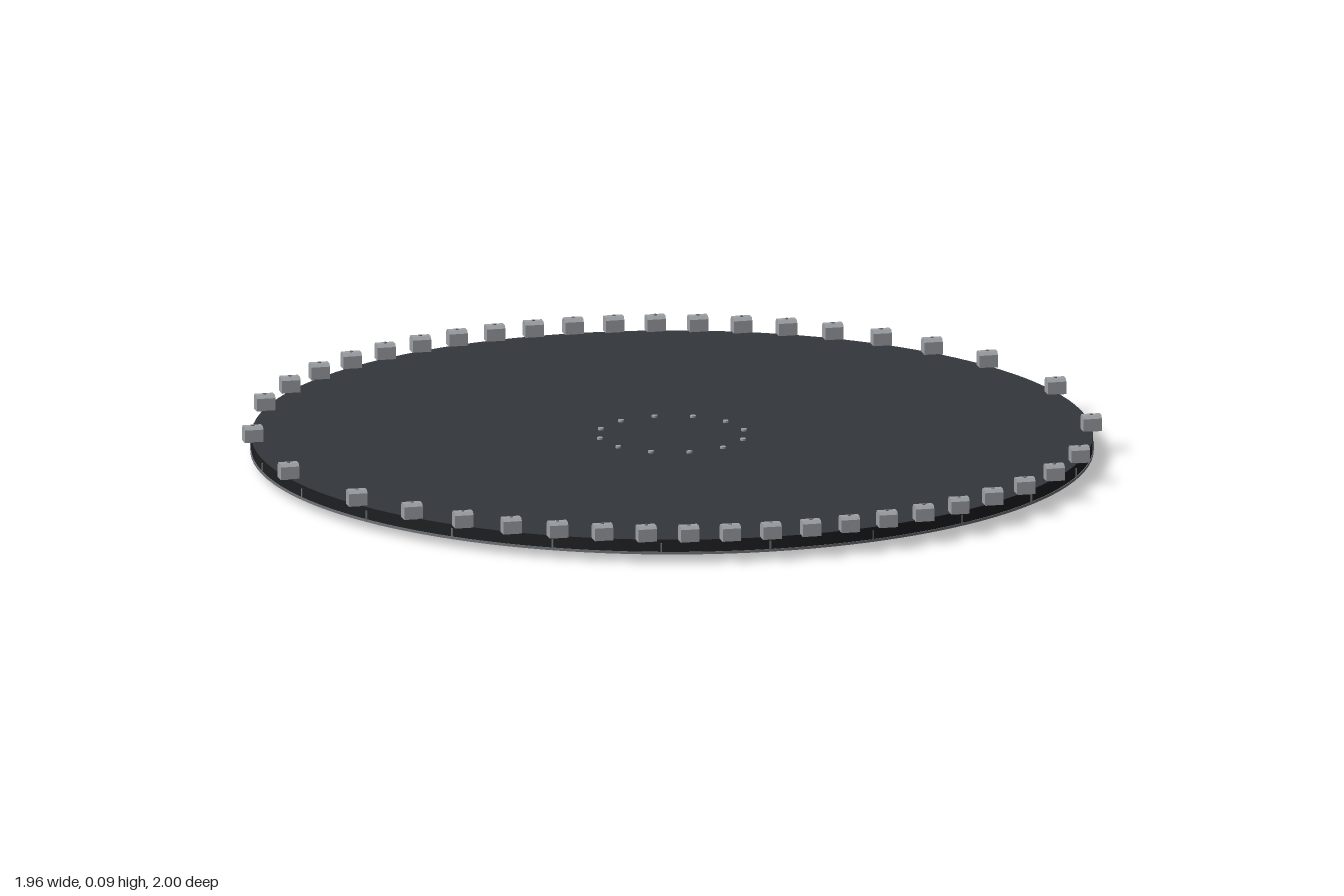
import * as THREE from 'three';

const material = color => new THREE.MeshStandardMaterial({ color });

export function createModel() {
  const model = new THREE.Group();
  const dark = material(0x33373c);
  const black = material(0x1e1f22);
  const metal = material(0x9da1a5);
  const steel = material(0x6f7275);

  const add = (name, geometry, mat, x = 0, y = 0, z = 0, parent = model) => {
    const mesh = new THREE.Mesh(geometry, mat);
    mesh.name = name;
    mesh.position.set(x, y, z);
    parent.add(mesh);
    return mesh;
  };
  const addGroup = name => {
    const group = new THREE.Group();
    group.name = name;
    model.add(group);
    return group;
  };

  // Round deck with a darker edge and underside
  add('deck', new THREE.CylinderGeometry(0.977, 0.977, 0.032, 128), [black, dark, black], 0, 0.038, 0);

  // Thin metal band around the lower edge
  const band = [[0.96, 0.025], [0.96, 0.019], [0.979, 0.019], [0.979, 0.025], [0.96, 0.025]]
    .map(([r, y]) => new THREE.Vector2(r, y));
  const bandMesh = add('rimBand', new THREE.LatheGeometry(band, 128).toNonIndexed(), steel);
  bandMesh.geometry.computeVertexNormals();

  // Central hub, hidden in the deck and standing proud below it
  add('hub', new THREE.CylinderGeometry(0.22, 0.22, 0.05, 64), metal, 0, 0.025, 0);

  // Ring of bolt tips above the hub
  const bolts = addGroup('hubBolts');
  const boltGeometry = new THREE.CylinderGeometry(0.007, 0.007, 0.02, 12);
  for (let i = 0; i < 12; i++) {
    const a = i * Math.PI / 6;
    add('hubBolt', boltGeometry, metal, 0.172 * Math.cos(a), 0.049, 0.172 * Math.sin(a), bolts);
  }

  // Two support rails underneath
  const railGeometry = new THREE.BoxGeometry(1.63, 0.018, 0.044);
  for (const side of [-1, 1]) add('supportRail', railGeometry, metal, 0, 0.014, side * 0.456);

  // Slim seams every fifteen degrees on the edge
  const seams = addGroup('edgeSeams');
  const seamGeometry = new THREE.BoxGeometry(0.004, 0.025, 0.004);
  for (let i = 0; i < 24; i++) {
    const a = i * Math.PI / 12;
    const seam = add('edgeSeam', seamGeometry, steel, 0.977 * Math.sin(a), 0.033, 0.977 * Math.cos(a), seams);
    seam.rotation.y = a;
  }

  // Rim blocks: chamfered profile drawn out along x, evenly spaced in x
  const profile = new THREE.Shape([
    [-0.016, 0], [0.016, 0], [0.016, 0.03], [0.009, 0.037], [-0.009, 0.037], [-0.016, 0.03],
  ].map(p => new THREE.Vector2(...p)));
  const blockGeometry = new THREE.ExtrudeGeometry(profile, { depth: 0.044, bevelEnabled: false });
  blockGeometry.translate(0, 0, -0.022).rotateY(Math.PI / 2);
  const screwGeometry = new THREE.CylinderGeometry(0.004, 0.004, 0.003, 10);
  const blocks = addGroup('rimBlocks');
  for (let i = -10; i <= 10; i++) {
    const x = i * 0.0958;
    const z = 0.982 * Math.sqrt(1 - (x / 0.974) ** 2);
    for (const side of [-1, 1]) {
      add('rimBlock', blockGeometry, metal, x, 0.053, side * z, blocks);
      add('blockScrew', screwGeometry, steel, x, 0.0905, side * z, blocks);
    }
  }

  return model;
}
